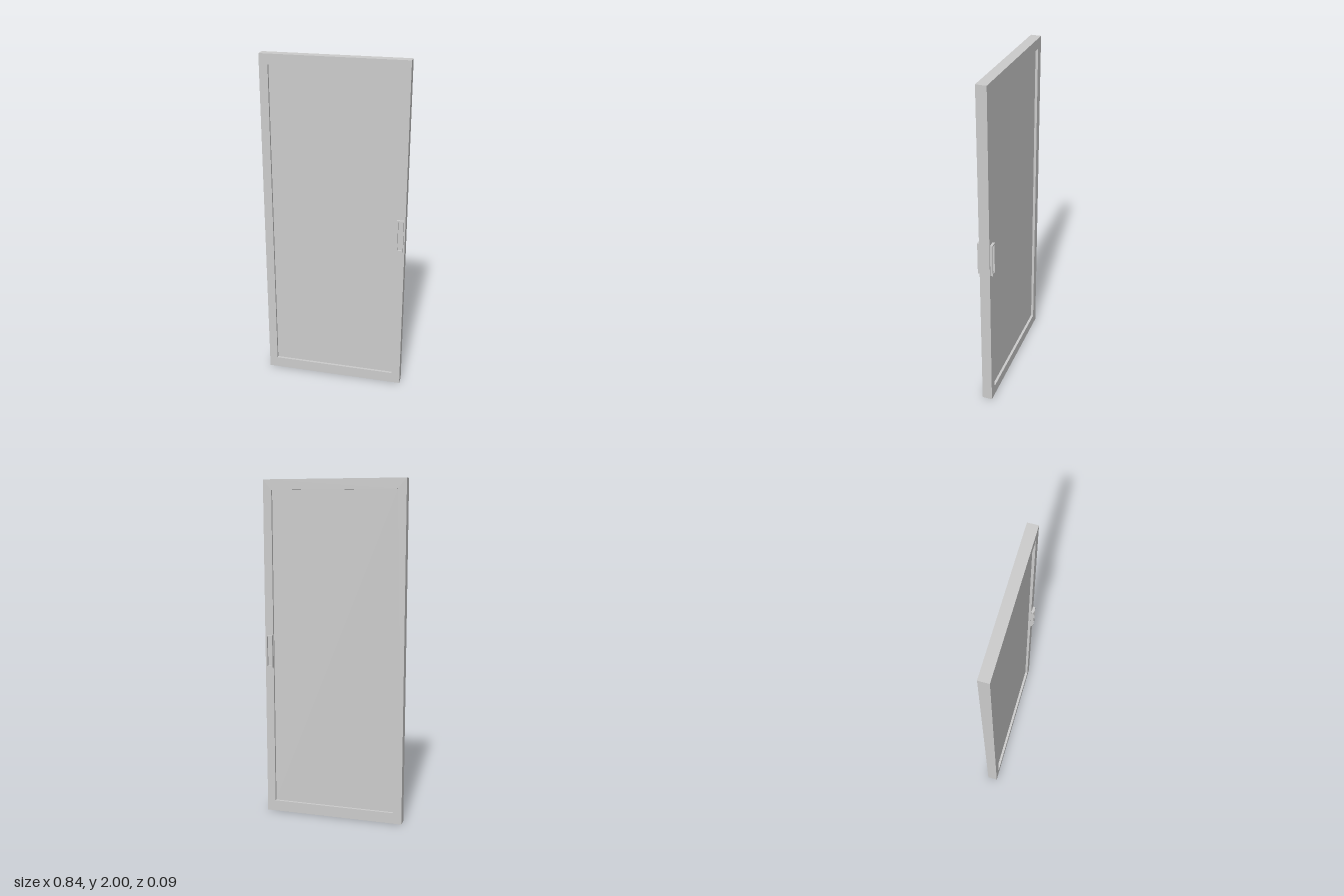
import * as THREE from 'three';

const material = new THREE.MeshStandardMaterial({ color: 0xcccccc, flatShading: true });

// Rectangle outline traced onto a shape or hole path
function rect(path, x0, y0, x1, y1) {
  path.moveTo(x0, y0);
  path.lineTo(x1, y0);
  path.lineTo(x1, y1);
  path.lineTo(x0, y1);
  path.closePath();
  return path;
}

// Rectangular ring: outer and inner are [x0, y0, x1, y1], extruded from z to z + depth
function ring(name, outer, inner, z, depth) {
  const shape = rect(new THREE.Shape(), ...outer);
  shape.holes.push(rect(new THREE.Path(), ...inner));
  const geometry = new THREE.ExtrudeGeometry(shape, { depth, bevelEnabled: false });
  geometry.translate(0, 0, z);
  const mesh = new THREE.Mesh(geometry, material);
  mesh.name = name;
  return mesh;
}

export function createModel() {
  const group = new THREE.Group();
  group.name = 'slidingDoor';

  // Outer frame
  group.add(ring('frame', [-0.42, 0, 0.42, 2], [-0.37, 0.065, 0.37, 1.94], -0.03, 0.06));

  // Recessed panel
  const panel = new THREE.Mesh(new THREE.BoxGeometry(0.74, 1.875, 0.03), material);
  panel.name = 'panel';
  panel.position.y = 1.0025;
  group.add(panel);

  // Recessed finger pulls on both faces, at the same side of the door
  const outer = [0.372, 0.903, 0.412, 1.097];
  const inner = [0.38, 0.911, 0.404, 1.089];
  group.add(ring('frontHandle', outer, inner, 0.03, 0.014));
  group.add(ring('backHandle', outer, inner, -0.044, 0.014));

  return group;
}
